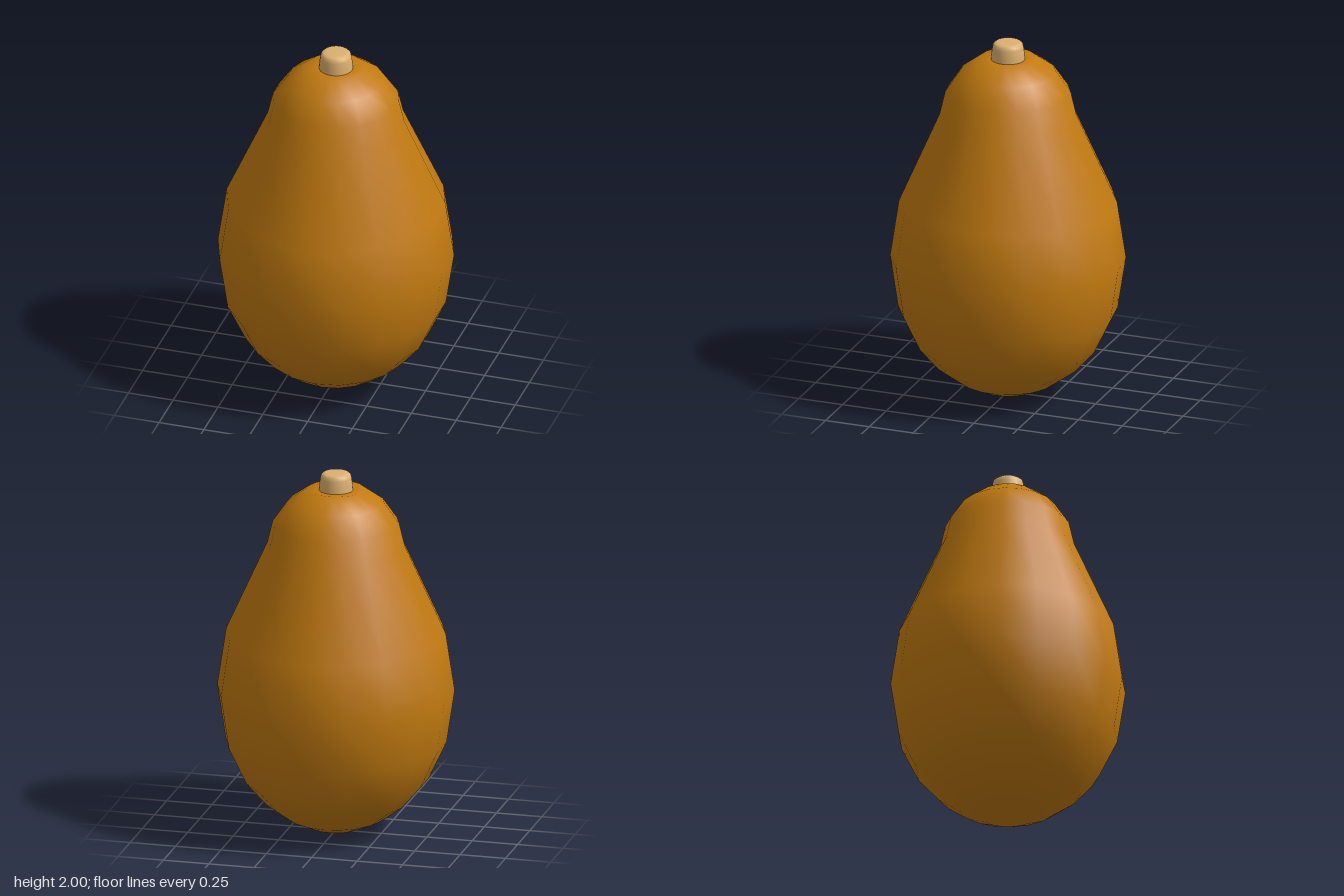
import * as THREE from 'three';

const skin = new THREE.MeshStandardMaterial({ color: 0xc27a10 });
skin.name = 'amber skin';
const wood = new THREE.MeshStandardMaterial({ color: 0xdcb070 });
wood.name = 'pale stem';

// Surface of revolution from [radius, height] pairs, bottom to top
function lathe(name, profile, sides, material) {
  const points = profile.map(([r, y]) => new THREE.Vector2(r, y));
  const mesh = new THREE.Mesh(new THREE.LatheGeometry(points, sides), material);
  mesh.name = name;
  return mesh;
}

export function createModel() {
  const model = new THREE.Group();
  model.name = 'gourd';

  // Pear-shaped body with a rounded shoulder and almost flat crown
  const body = lathe('body', [
    [0, 0.002], [0.14, 0.027], [0.262, 0.083], [0.382, 0.172], [0.49, 0.297],
    [0.584, 0.497], [0.627, 0.785], [0.58, 1.1], [0.363, 1.592],
    [0.334, 1.717], [0.255, 1.833], [0.15, 1.909], [0.08, 1.902], [0, 1.9],
  ], 18, skin);

  // Rings sit slightly higher at the sides than at the front and back
  const position = body.geometry.attributes.position;
  for (let i = 0; i < position.count; i++) {
    const x = position.getX(i), y = position.getY(i), z = position.getZ(i);
    const sway = Math.cos(2 * Math.atan2(z, x)) * Math.sin(Math.PI * Math.min(y / 1.9, 1));
    position.setXYZ(i, x * 1.012, y + 0.015 * sway, z);
  }
  model.add(body);

  // Short tapered stem with a softened top edge
  model.add(lathe('stem', [
    [0.092, 1.88], [0.091, 1.91], [0.088, 1.94], [0.084, 1.97],
    [0.079, 1.988], [0.068, 1.997], [0.05, 2], [0, 2],
  ], 24, wood));

  return model;
}
